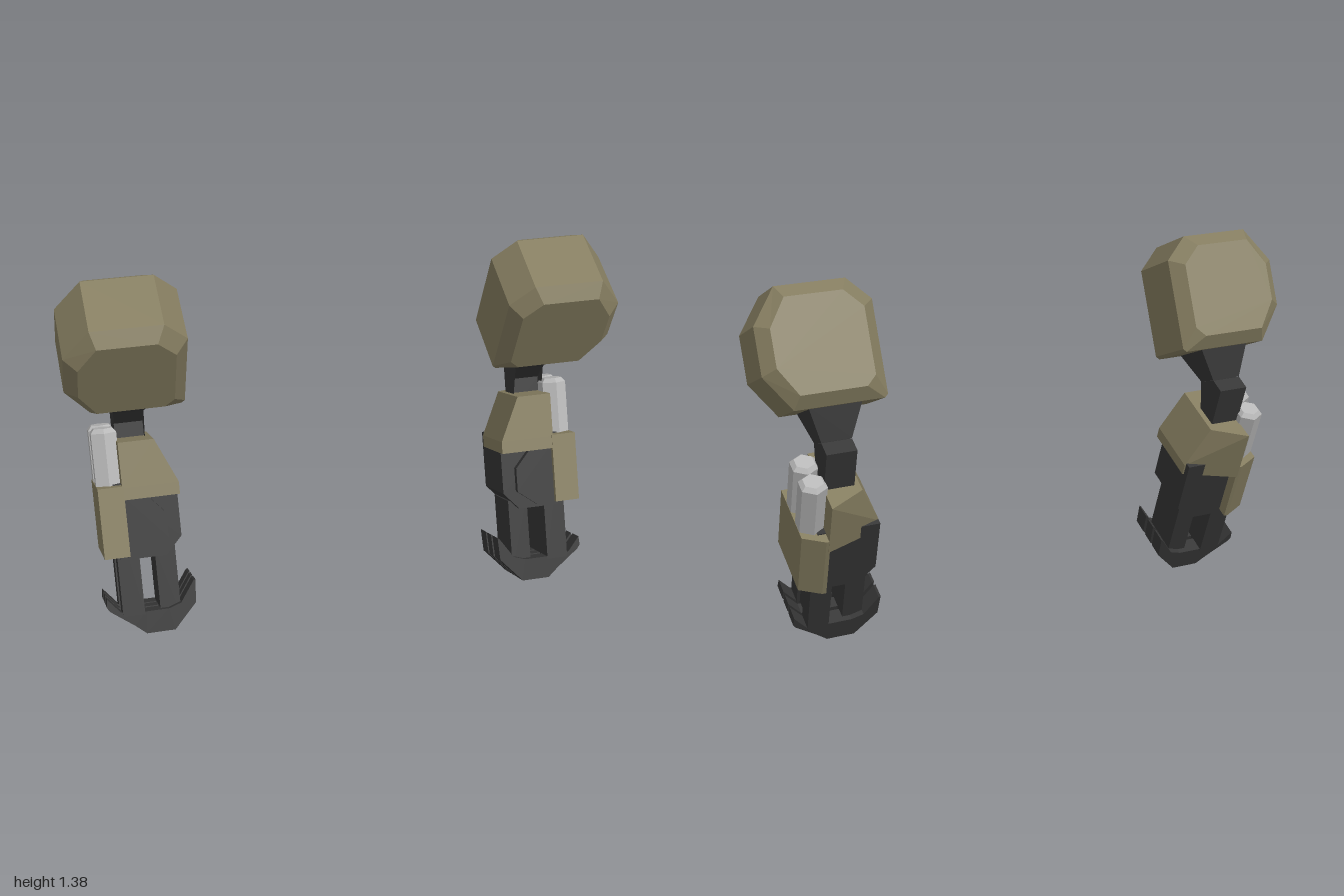
import * as THREE from 'three';

const olive = new THREE.MeshStandardMaterial({ color: 0x857d60 });
olive.name = 'olive armour';
const dark = new THREE.MeshStandardMaterial({ color: 0x363636 });
dark.name = 'dark frame';
const silver = new THREE.MeshStandardMaterial({ color: 0xb8b8b8 });
silver.name = 'silver metal';

// Flat-faced solid through matching convex rings of [x, y, z]; winding is set outward by signed volume
function solid(rings) {
  const n = rings[0].length, pts = rings.flat(), last = (rings.length - 1) * n;
  const tris = [];
  for (let r = 0; r < rings.length - 1; r++) {
    for (let i = 0; i < n; i++) {
      const a = r * n + i, b = r * n + (i + 1) % n;
      tris.push([a, b, b + n], [a, b + n, a + n]);
    }
  }
  for (let i = 1; i < n - 1; i++) {
    tris.push([0, i + 1, i], [last, last + i, last + i + 1]);
  }
  const v = pts.map((p) => new THREE.Vector3(...p));
  const cross = new THREE.Vector3();
  let volume = 0;
  for (const [a, b, c] of tris) volume += v[a].dot(cross.crossVectors(v[b], v[c]));
  const order = tris.flatMap(([a, b, c]) => (volume < 0 ? [a, c, b] : [a, b, c]));
  const g = new THREE.BufferGeometry();
  g.setAttribute('position', new THREE.Float32BufferAttribute(order.flatMap((i) => pts[i]), 3));
  g.computeVertexNormals();
  return g;
}

// Prism of an outline in x, y between two depths
const prismZ = (outline, z0, z1) => [z0, z1].map((z) => outline.map(([x, y]) => [x, y, z]));
const box = (x0, x1, y0, y1, z0, z1) => prismZ([[x0, y0], [x1, y0], [x1, y1], [x0, y1]], z0, z1);

// Outline of the shoulder pod: big outer chamfers, small inner ones
const podRing = (hx, hy, cx, cy, inTop, inLow, z) => [
  [hx, -hy + cy], [hx, hy - cy], [hx - cx, hy], [-hx + inTop, hy],
  [-hx, hy - inTop], [-hx, -hy + inLow], [-hx + inLow, -hy], [hx - cx, -hy],
].map(([x, y]) => [x, y, z]);

function createArm(side) {
  const arm = new THREE.Group();
  arm.name = side > 0 ? 'leftArm' : 'rightArm';
  const add = (parent, name, rings, material) => {
    const mirrored = rings.map((r) => r.map(([x, y, z]) => [side * x, y, z]));
    const mesh = new THREE.Mesh(solid(mirrored), material);
    mesh.name = name;
    parent.add(mesh);
    return mesh;
  };

  // Shoulder pod, leaning forward
  const shoulder = add(arm, 'shoulderPod', [
    podRing(0.168, 0.168, 0.064, 0.1, 0.065, 0.035, -0.16),
    podRing(0.2125, 0.213, 0.09, 0.127, 0.082, 0.012, -0.115),
    podRing(0.2125, 0.213, 0.09, 0.127, 0.082, 0.012, 0.115),
    podRing(0.168, 0.168, 0.064, 0.1, 0.065, 0.035, 0.16),
  ], olive);
  shoulder.position.set(side * 0.7875, 1.145, 0.035);
  shoulder.rotation.x = THREE.MathUtils.degToRad(25);

  // Upper arm flare and elbow link
  add(arm, 'upperArm', [
    [[0.66, 0.925, 0.033], [0.855, 0.925, 0.033], [0.855, 1.0, -0.137], [0.66, 1.0, -0.137]],
    [[0.71, 0.833, -0.0625], [0.82, 0.833, -0.0625], [0.82, 0.868, -0.152], [0.71, 0.868, -0.152]],
  ], dark);
  const link = [[0.833, -0.0625], [0.867, -0.153], [0.844, -0.21], [0.63, -0.135], [0.65, -0.07], [0.767, -0.112]];
  add(arm, 'elbowLink', [0.71, 0.82].map((x) => link.map(([y, z]) => [x, y, z])), dark);

  // Forearm, swung forward at the hand
  const forearm = new THREE.Group();
  forearm.name = 'forearm';
  forearm.rotation.x = THREE.MathUtils.degToRad(-20);
  arm.add(forearm);

  // Elbow armour with a sloping inner side
  const cuff = (x, y) => [[0.82, y, 0.285], [x, y, 0.285], [x, y, 0.06], [0.82, y, -0.008]];
  add(forearm, 'elbowArmour', [cuff(0.615, 0.495), cuff(0.615, 0.54), cuff(0.69, 0.705)], olive);

  // Outer guard with a bevelled back
  const guard = (y) => [[0.815, y, 0.287], [0.908, y, 0.287], [0.908, y, 0.034], [0.83, y, -0.006], [0.815, y, -0.006]];
  add(forearm, 'outerGuard', [guard(0.288), guard(0.546)], olive);

  // Two hexagonal pistons standing in the guard
  for (const z of [0.196, 0.092]) {
    const hex = (r, y) => Array.from({ length: 6 }, (_, i) => {
      const a = (i * Math.PI) / 3;
      return [0.861 + r * Math.sin(a), y, z + r * Math.cos(a)];
    });
    add(forearm, 'piston', [hex(0.053, 0.5), hex(0.053, 0.738), hex(0.038, 0.754)], silver);
  }

  // Forearm core, front panel and inner strut
  add(forearm, 'forearmCore', prismZ(
    [[0.85, 0.55], [0.62, 0.55], [0.62, 0.335], [0.68, 0.27], [0.85, 0.27]], 0.035, 0.247), dark);
  add(forearm, 'forearmPanel', prismZ(
    [[0.82, 0.51], [0.74, 0.51], [0.67, 0.43], [0.67, 0.34], [0.75, 0.28], [0.82, 0.28]], 0.24, 0.27), dark);
  add(forearm, 'innerStrut', box(0.645, 0.72, 0.03, 0.3, 0.06, 0.22), dark);

  // Three claw fingers, each curling under the palm, with a bar above
  const curl = [ // outer point, then inner point, from outer tip to inner tip
    [[0.915, 0.1], [0.912, 0.132]],
    [[0.905, 0.085], [0.86, 0.07]],
    [[0.82, 0.022], [0.815, 0.07]],
    [[0.78, -0.012], [0.775, 0.07]],
    [[0.675, -0.012], [0.69, 0.07]],
    [[0.59, 0.08], [0.645, 0.085]],
    [[0.585, 0.166], [0.592, 0.162]],
  ];
  [[0.038, 0.1], [0.115, 0.163], [0.18, 0.243]].forEach(([z0, z1], i) => {
    add(forearm, 'clawFinger', curl.map(([[ox, oy], [ix, iy]]) => [
      [ox, oy, z0], [ox, oy, z1], [ix, iy, z1], [ix, iy, z0],
    ]), dark);
    const b = 0.035 + i * 0.07;
    add(forearm, 'outerBar', box(0.78, i === 1 ? 0.848 : 0.86, 0.06, 0.5, b, b + 0.07), dark);
  });
  return arm;
}

export function createModel() {
  const model = new THREE.Group();
  model.name = 'armPair';
  model.add(createArm(1), createArm(-1));
  return model;
}
